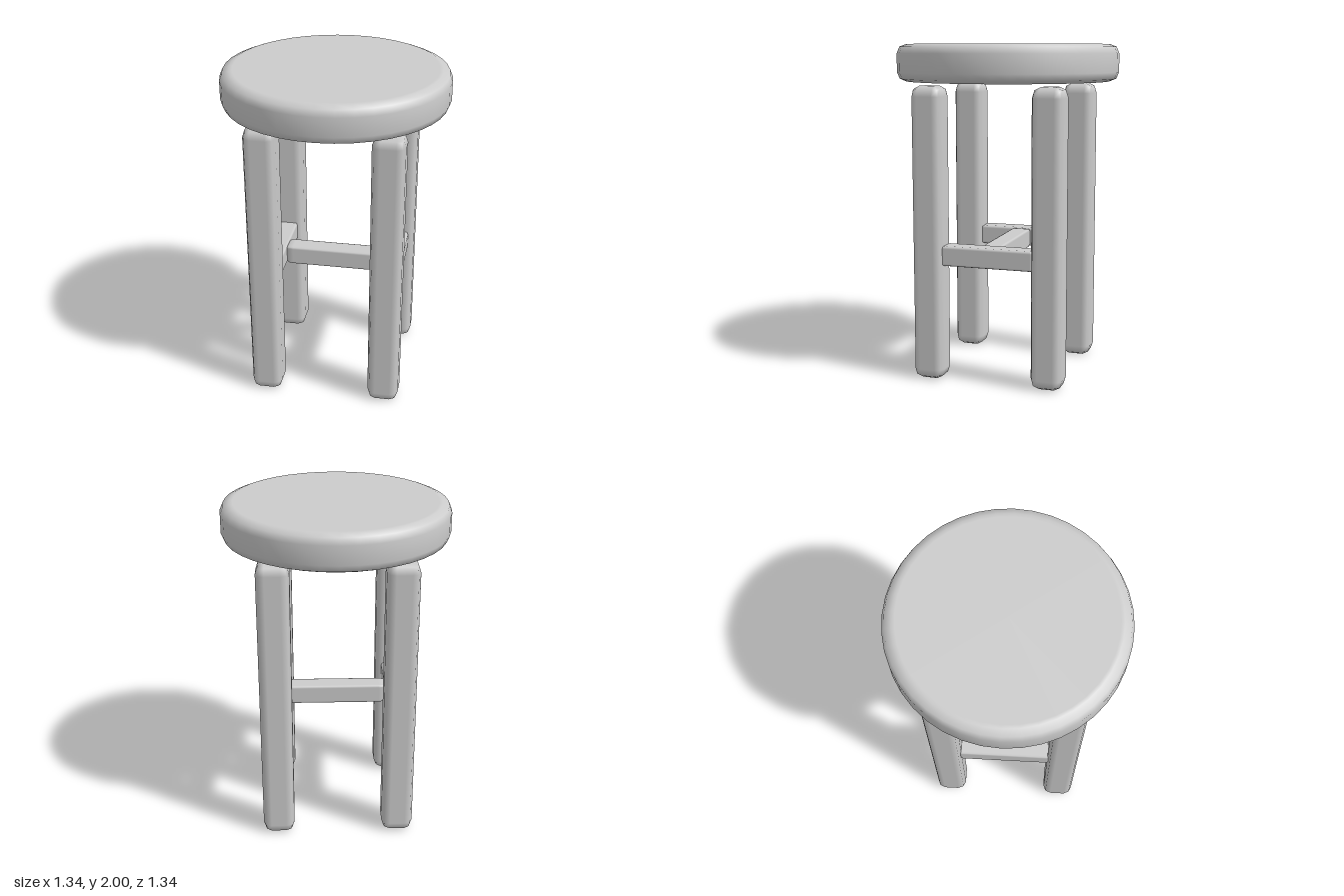
import * as THREE from 'three';
import { RoundedBoxGeometry } from 'three/addons/geometries/RoundedBoxGeometry.js';

const paint = new THREE.MeshStandardMaterial({ color: 0xcccccc });
paint.name = 'light grey';

// Box with softly bevelled edges; the bevel is stretched along each axis by `stretch`.
function bevelledBox(name, size, bevel, stretch = [1, 1, 1]) {
  const [w, h, d] = size.map((s, i) => s / stretch[i]);
  const geometry = new RoundedBoxGeometry(w, h, d, 1, bevel);
  geometry.scale(...stretch);
  const mesh = new THREE.Mesh(geometry, paint);
  mesh.name = name;
  return mesh;
}

// Round seat with bevelled rims
function makeSeat() {
  const radius = 0.67, bottom = 1.78, top = 2, bevel = 0.055;
  const points = [new THREE.Vector2(0, bottom), new THREE.Vector2(radius - bevel - 0.02, bottom)];
  for (const [y, start] of [[bottom + bevel, -Math.PI / 2], [top - bevel, 0]]) {
    for (let i = 0; i <= 2; i++) {
      const a = start + (i * Math.PI) / 4;
      points.push(new THREE.Vector2(radius - bevel + bevel * Math.cos(a), y + bevel * Math.sin(a)));
    }
  }
  points.push(new THREE.Vector2(radius - bevel - 0.02, top), new THREE.Vector2(0, top));
  const seat = new THREE.Mesh(new THREE.LatheGeometry(points, 40), paint);
  seat.name = 'seat';
  return seat;
}

export function createModel() {
  const stool = new THREE.Group();
  stool.name = 'stool';
  stool.add(makeSeat());

  const legOffset = 0.365, railHeight = 0.76;
  for (const sx of [-1, 1]) {
    const side = sx > 0 ? 'left' : 'right';

    // Front and back leg on this side
    for (const sz of [-1, 1]) {
      const leg = bevelledBox(`${side}${sz > 0 ? 'Front' : 'Back'}Leg`, [0.19, 1.76, 0.19], 0.05, [1, 1.25, 1]);
      leg.position.set(sx * legOffset, 0.885, sz * legOffset);
      leg.position.y = 0.88;
      stool.add(leg);
    }

    // Rail joining the two legs
    const rail = bevelledBox(`${side}Rail`, [0.12, 0.12, 0.56], 0.015);
    rail.position.set(sx * legOffset, railHeight, 0);
    stool.add(rail);
  }

  // Crossbar between the rails
  const crossbar = bevelledBox('crossbar', [0.62, 0.12, 0.12], 0.015, [3, 1, 1]);
  crossbar.position.y = railHeight;
  stool.add(crossbar);

  return stool;
}
